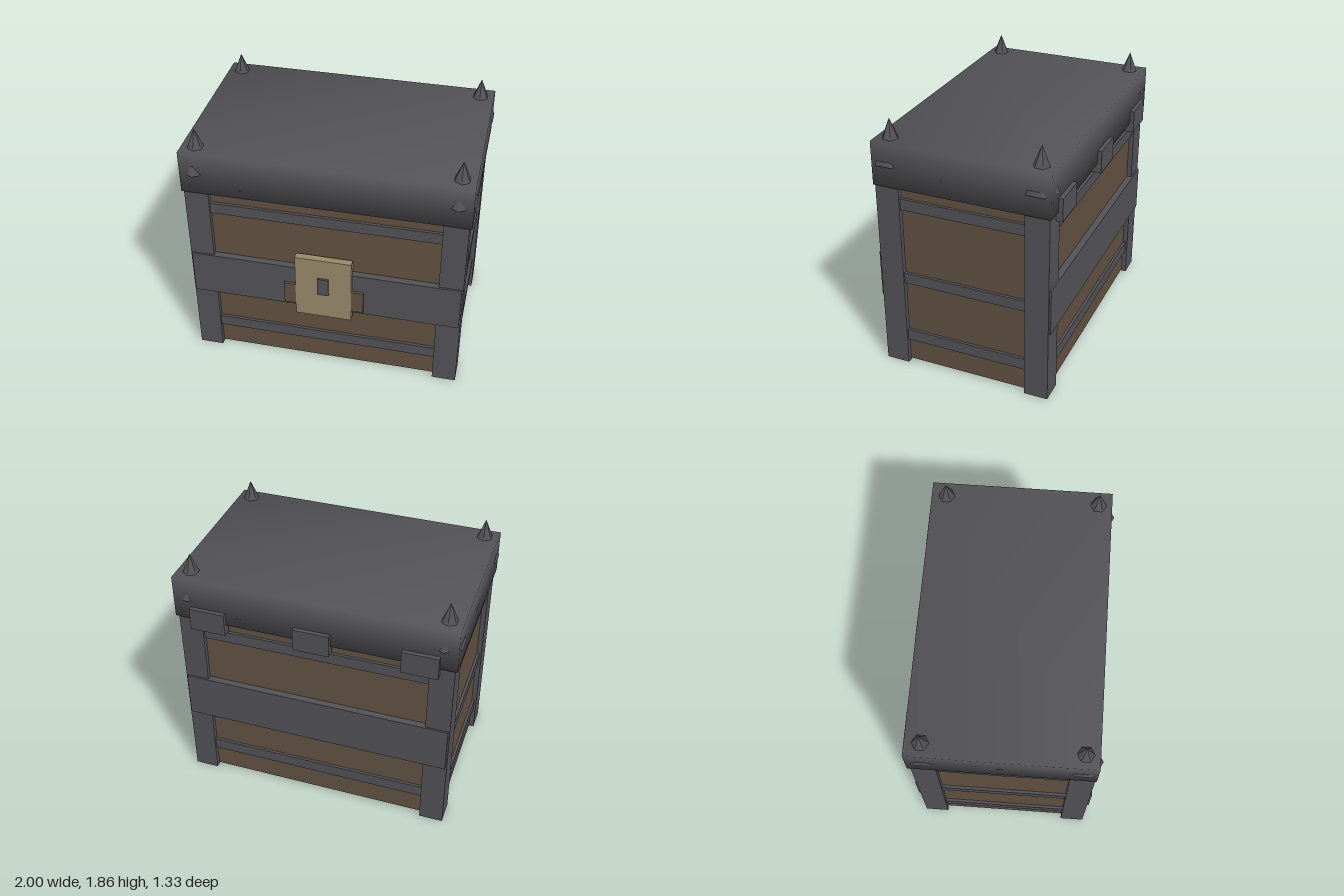
import * as THREE from 'three';
import { mergeVertices } from 'three/addons/utils/BufferGeometryUtils.js';

const material = (name, color) => {
  const m = new THREE.MeshStandardMaterial({ color });
  m.name = name;
  return m;
};

export function createModel() {
  const iron = material('dark iron', 0x535257);
  const wood = material('brown wood', 0x625242);
  const brass = material('dull brass', 0x988b6a);
  const model = new THREE.Group();
  model.name = 'chest';

  const add = (name, geometry, mat) => {
    const mesh = new THREE.Mesh(geometry, mat);
    mesh.name = name;
    model.add(mesh);
    return mesh;
  };
  // Box given by its limits on each axis
  const box = (name, mat, [x0, x1], [y0, y1], [z0, z1]) => {
    const mesh = add(name, new THREE.BoxGeometry(x1 - x0, y1 - y0, z1 - z0), mat);
    mesh.position.set((x0 + x1) / 2, (y0 + y1) / 2, (z0 + z1) / 2);
    return mesh;
  };

  // Wooden body
  box('body', wood, [-0.935, 0.935], [0.015, 1.39], [-0.585, 0.58]);

  // Corner posts
  for (const [x0, x1] of [[-0.97, -0.8], [0.8, 0.97]]) {
    box('frontPost', iron, [x0, x1], [0, 1.41], [0.445, 0.615]);
    box('backPost', iron, [x0, x1], [0, 1.41], [-0.62, -0.45]);
  }

  // Narrow bands: two round the body, one more on each side
  for (const y of [[0.19, 0.275], [1.237, 1.32]]) {
    box('frontBand', iron, [-0.82, 0.82], y, [0.56, 0.6]);
    box('backBand', iron, [-0.82, 0.82], y, [-0.605, -0.565]);
  }
  for (const y of [[0.19, 0.275], [0.665, 0.745], [1.237, 1.32]]) {
    box('leftBand', iron, [0.92, 0.955], y, [-0.47, 0.465]);
    box('rightBand', iron, [-0.955, -0.92], y, [-0.47, 0.465]);
  }

  // Wide middle bands
  box('wideFrontBand', iron, [-0.96, 0.96], [0.535, 0.875], [0.56, 0.628]);
  box('wideBackBand', iron, [-0.96, 0.96], [0.535, 0.875], [-0.633, -0.565]);

  // Lock
  box('lockBacking', wood, [-0.285, 0.285], [0.563, 0.735], [0.6, 0.648]);
  box('lockPlate', brass, [-0.2, 0.2], [0.478, 0.99], [0.603, 0.653]);
  box('keyhole', iron, [-0.04, 0.04], [0.69, 0.832], [0.64, 0.667]);

  // Lid, with normals shared round its edges
  let lid = new THREE.BoxGeometry(1.974, 0.313, 1.255);
  lid.deleteAttribute('normal');
  lid.deleteAttribute('uv');
  lid = mergeVertices(lid);
  lid.computeVertexNormals();
  add('lid', lid, iron).position.set(0, 1.564, -0.0075);

  // Hinges
  for (const x of [-0.745, -0.003, 0.74]) {
    box('hinge', iron, [x - 0.126, x + 0.126], [1.34, 1.505], [-0.665, -0.6]);
  }

  // Corner spikes, driven up through the lid
  const spike = new THREE.ConeGeometry(0.125, 0.305, 6);
  for (const x of [-0.89, 0.89]) {
    for (const z of [-0.53, 0.525]) {
      add('spike', spike, iron).position.set(x, 1.7075, z);
    }
  }
  return model;
}
